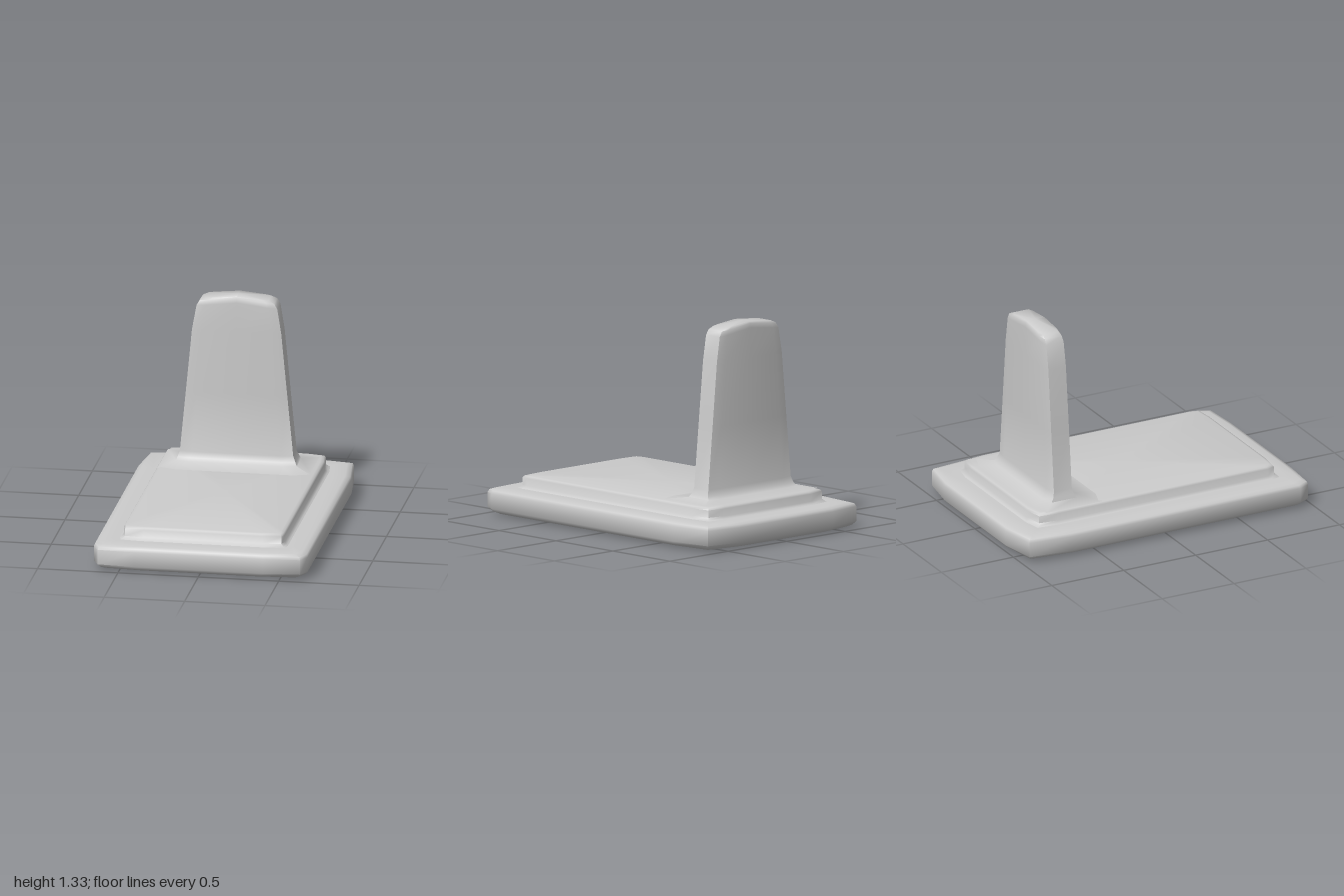
import * as THREE from 'three';
import { toCreasedNormals } from 'three/addons/utils/BufferGeometryUtils.js';

const material = new THREE.MeshStandardMaterial({ color: 0xcccccc });

// Skin a stack of equal-length rings, closing both ends with fans.
function loft(name, rings, bottomY, topY) {
  const n = rings[0].length;
  const positions = rings.flat(2);
  const index = [];
  for (let r = 0; r < rings.length - 1; r++) {
    for (let i = 0; i < n; i++) {
      const a = r * n + i, a2 = r * n + (i + 1) % n;
      index.push(a, a + n, a2, a2, a + n, a2 + n);
    }
  }
  const addCap = (ring, offset, y, up) => {
    const x = ring.reduce((s, p) => s + p[0], 0) / n;
    const z = ring.reduce((s, p) => s + p[2], 0) / n;
    const c = positions.length / 3;
    positions.push(x, y, z);
    for (let i = 0; i < n; i++) {
      const a = offset + i, b = offset + (i + 1) % n;
      index.push(c, up ? b : a, up ? a : b);
    }
  };
  addCap(rings[0], 0, bottomY, false);
  addCap(rings[rings.length - 1], (rings.length - 1) * n, topY, true);
  const geometry = new THREE.BufferGeometry();
  geometry.setAttribute('position', new THREE.Float32BufferAttribute(positions, 3));
  geometry.setIndex(index);
  const mesh = new THREE.Mesh(toCreasedNormals(geometry, 1.05), material);
  mesh.name = name;
  return mesh;
}

// Slab from an outline [x, z] and levels [y, inset].
function slab(name, outline, levels, bottomY, topY) {
  const rings = levels.map(([y, d]) =>
    outline.map(([x, z]) => [x - Math.sign(x) * d, y, z - Math.sign(z) * d]));
  return loft(name, rings, bottomY, topY);
}

// Symmetric outline from its +x half, running back to front.
function mirrored(half) {
  return [...half, ...half.map(([x, z]) => [-x, z]).reverse()];
}

export function createModel() {
  const group = new THREE.Group();

  // Bottom slab with rounded edges
  const baseOutline = mirrored([
    [0.4, -1], [0.635, -0.96], [0.665, -0.69],
    [0.665, 0.91], [0.63, 0.98], [0.4, 0.997],
  ]);
  group.add(slab('base', baseOutline, [
    [0.005, 0.12], [0.01, 0.04], [0.022, 0.017], [0.042, 0],
    [0.135, 0], [0.153, 0.007], [0.163, 0.035], [0.165, 0.11],
  ], 0, 0.165));

  // Raised step with a small cove at its foot
  const stepOutline = mirrored([
    [0.37, -0.835], [0.485, -0.812], [0.5, -0.69],
    [0.5, 0.77], [0.487, 0.82], [0.37, 0.832],
  ]);
  group.add(slab('step', stepOutline, [
    [0.16, -0.035], [0.168, -0.015], [0.182, 0],
    [0.228, 0], [0.24, 0.008], [0.245, 0.025],
  ], 0.16, 0.245));

  // Tapered upright with a flared foot and an arched top
  const section = [
    [-1, -0.84], [-0.78, -1], [0, -1], [0.78, -1], [1, -0.84],
    [1, 0.84], [0.78, 1], [0, 1], [-0.78, 1], [-1, 0.84],
  ];
  // y, left x, right x, back z, front z, rise at the middle
  const levels = [
    [0.243, -0.49, 0.47, -0.8, -0.34, 0],
    [0.258, -0.395, 0.355, -0.695, -0.488, 0],
    [0.278, -0.388, 0.345, -0.677, -0.503, 0],
    [0.315, -0.375, 0.33, -0.663, -0.515, 0],
    [0.7, -0.338, 0.293, -0.662, -0.515, 0],
    [1.1, -0.3, 0.255, -0.661, -0.516, 0],
    [1.255, -0.272, 0.23, -0.66, -0.517, 0.03],
    [1.288, -0.25, 0.21, -0.659, -0.519, 0.024],
    [1.305, -0.215, 0.175, -0.652, -0.526, 0.018],
  ];
  const rings = levels.map(([y, x0, x1, z0, z1, rise]) =>
    section.map(([u, v]) => [
      (x0 + x1) / 2 + u * (x1 - x0) / 2,
      y + rise * (1 - Math.abs(u)),
      (z0 + z1) / 2 + v * (z1 - z0) / 2,
    ]));
  group.add(loft('upright', rings, 0.243, 1.325));

  return group;
}
